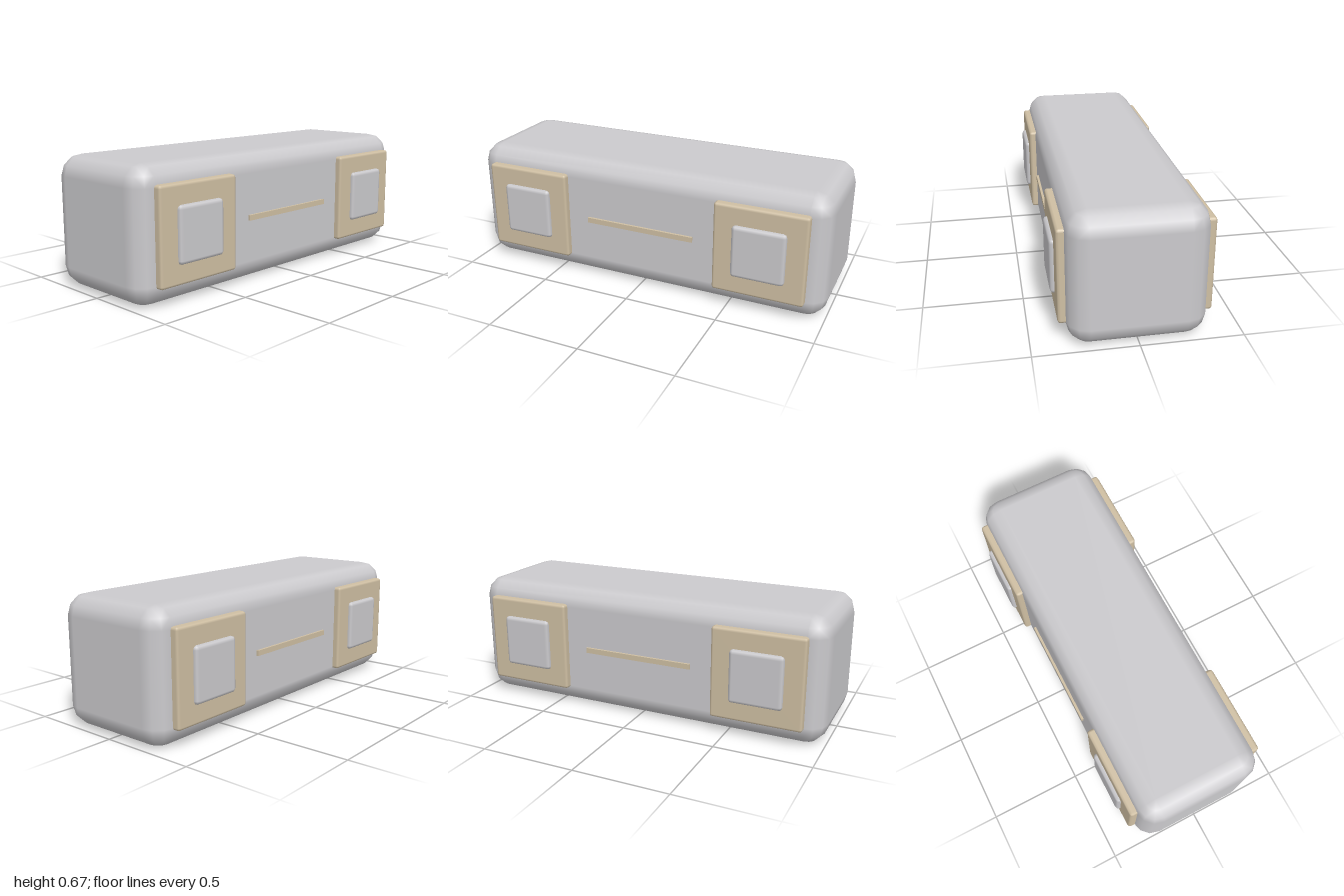
import * as THREE from 'three';
import { ConvexGeometry } from 'three/addons/geometries/ConvexGeometry.js';

// Box with bevelled edges: hull of eight sphere octants, with smooth bevel normals
function bevelBox(w, h, d, r, n) {
  const inner = new THREE.Vector3(w / 2 - r, h / 2 - r, d / 2 - r);
  const points = [];
  for (const sx of [-1, 1]) for (const sy of [-1, 1]) for (const sz of [-1, 1]) {
    for (let j = 0; j <= n; j++) {
      const lat = (j / n) * Math.PI / 2;
      for (let i = 0; i <= (j === n ? 0 : n); i++) {
        const lon = (i / n) * Math.PI / 2;
        points.push(new THREE.Vector3(
          sx * (inner.x + r * Math.cos(lat) * Math.cos(lon)),
          sy * (inner.y + r * Math.sin(lat)),
          sz * (inner.z + r * Math.cos(lat) * Math.sin(lon))));
      }
    }
  }
  const geo = new ConvexGeometry(points);
  const pos = geo.attributes.position, nor = geo.attributes.normal;
  const low = inner.clone().negate();
  const p = new THREE.Vector3(), c = new THREE.Vector3();
  for (let i = 0; i < pos.count; i++) {
    p.fromBufferAttribute(pos, i);
    c.copy(p).clamp(low, inner);
    p.sub(c).normalize();
    nor.setXYZ(i, p.x, p.y, p.z);
  }
  return geo;
}

export function createModel() {
  const model = new THREE.Group();
  model.name = 'cabinet';
  const grey = new THREE.MeshStandardMaterial({ color: 0xcbcacd });
  grey.name = 'light grey';
  const beige = new THREE.MeshStandardMaterial({ color: 0xcfbfa3 });
  beige.name = 'beige';

  const add = (name, geo, mat, x, y, z) => {
    const mesh = new THREE.Mesh(geo, mat);
    mesh.name = name;
    mesh.position.set(x, y, z);
    model.add(mesh);
  };

  // Main body
  add('body', bevelBox(2, 0.665, 0.666, 0.105, 3), grey, 0, 0.3325, 0);

  // Panels, raised squares and centre strip, the same on front and back
  const panel = bevelBox(0.482, 0.48, 0.07, 0.015, 2);
  const square = bevelBox(0.28, 0.28, 0.06, 0.02, 2);
  const strip = new THREE.BoxGeometry(0.606, 0.028, 0.04);
  for (const side of [1, -1]) {
    const end = side > 0 ? 'front' : 'back';
    for (const x of [-0.664, 0.664]) {
      const hand = x > 0 ? 'Left' : 'Right';
      add(end + hand + 'Panel', panel, beige, x, 0.334, side * 0.333);
      add(end + hand + 'Square', square, grey, x, 0.334, side * 0.359);
    }
    add(end + 'Strip', strip, beige, 0, 0.334, side * 0.326);
  }
  return model;
}
